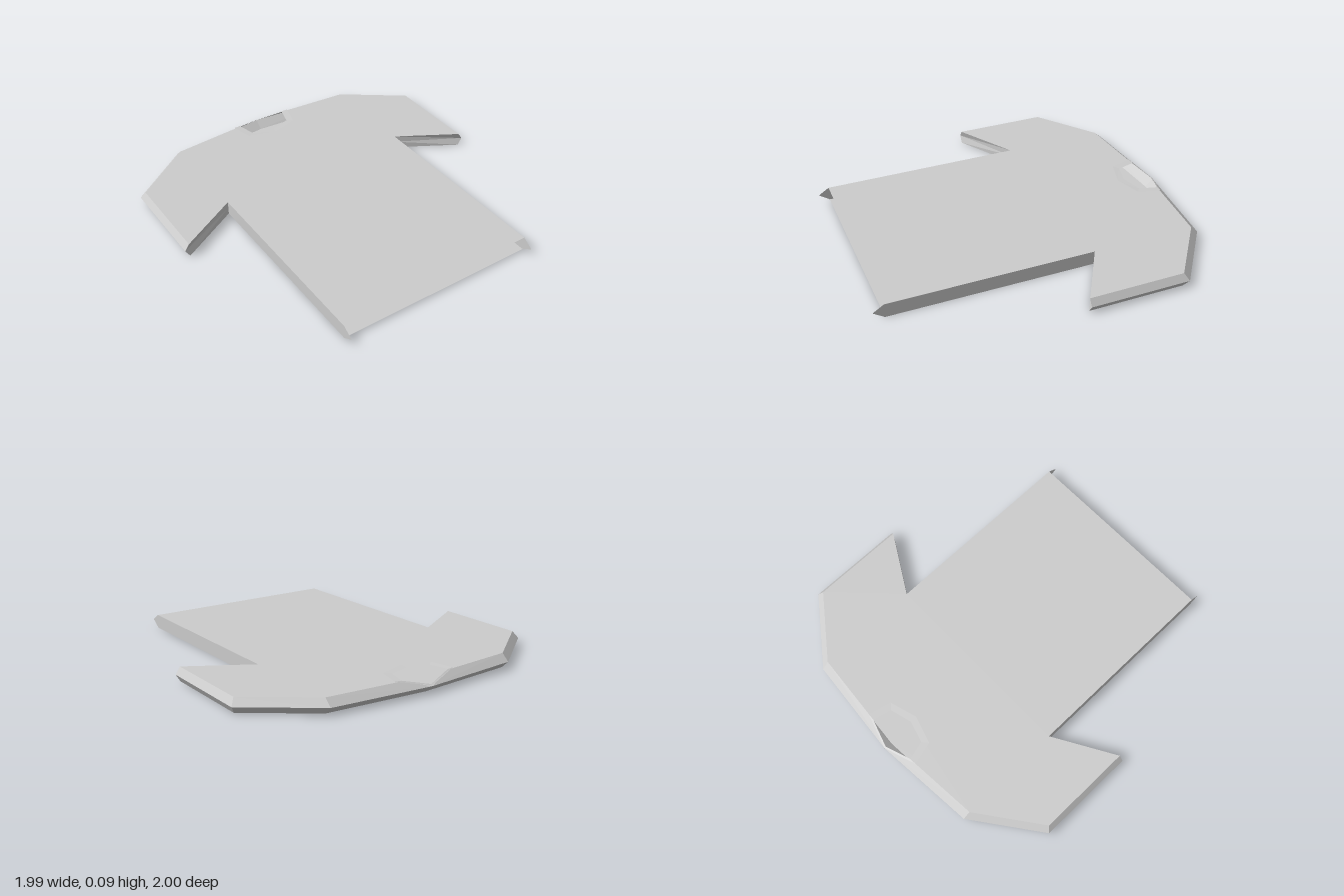
import * as THREE from 'three';

const TOP = 0.084, MID = 0.043;

// Half outlines (x, z) from hem to neck: flat panel edge and bulging side seam
const panelHalf = [[0.61, 0.933], [0.61, -0.28], [0.97, -0.07], [0.97, -0.635], [0.61, -0.902]];
const seamHalf = [[0.61, 0.997], [0.61, -0.28], [0.997, -0.07], [0.997, -0.66], [0.61, -0.947], [0, -1]];
const neckHalf = [[0.16, -0.939], [0.13, -0.828], [0, -0.792]];

const material = new THREE.MeshStandardMaterial({ color: 0xcccccc, flatShading: true, side: THREE.DoubleSide });

const lift = (points, y) => points.map(([x, z]) => [x, y, z]);
const mirrored = (half) => [...half, ...half.filter(([x]) => x > 0).reverse().map(([x, z]) => [-x, z])];

function addMesh(group, geometry, name) {
  const mesh = new THREE.Mesh(geometry, material);
  mesh.name = name;
  group.add(mesh);
}

// Flat horizontal panel facing up or down
function panel(half, y, up) {
  const shape = new THREE.Shape(mirrored(half).map(([x, z]) => new THREE.Vector2(x, up ? -z : z)));
  return new THREE.ShapeGeometry(shape).rotateX(up ? -Math.PI / 2 : Math.PI / 2).translate(0, y, 0);
}

// Strip of quads between two rows of points, for one side (+1 left, -1 right)
function strip(upper, lower, side) {
  const pos = [];
  const put = (...pts) => {
    if (side < 0) pts.reverse();
    pts.forEach(([x, y, z]) => pos.push(x * side, y, z));
  };
  for (let i = 0; i < upper.length - 1; i++) {
    put(upper[i], lower[i], lower[i + 1]);
    put(upper[i], lower[i + 1], upper[i + 1]);
  }
  const geometry = new THREE.BufferGeometry();
  geometry.setAttribute('position', new THREE.Float32BufferAttribute(pos, 3));
  geometry.computeVertexNormals();
  return geometry;
}

export function createModel() {
  const group = new THREE.Group();
  group.name = 'shirt';

  // Front cloth with the neck cut out, and plain back cloth
  addMesh(group, panel([...panelHalf, ...neckHalf], TOP, true), 'frontPanel');
  addMesh(group, panel([...panelHalf, [0, -0.95]], 0, false), 'backPanel');

  const seam = lift(seamHalf, MID);
  const upperEdge = lift([...panelHalf, neckHalf[0]], TOP);
  const lowerEdge = lift([...panelHalf, [0, -0.95]], 0);

  // Collar band: outer and inner rims, dipping to the seam at the nape
  const collarOuter = [[0, 0.047, -1], [0.2, 0.09, -0.937], [0.165, 0.09, -0.8], [0, 0.09, -0.75]];
  const collarInner = [[0, 0.052, -0.99], [0.16, 0.088, -0.939], [0.13, 0.088, -0.828], [0, 0.088, -0.792]];

  for (const [side, label] of [[1, 'left'], [-1, 'right']]) {
    // Side walls and closed cuffs; the hem stays open
    addMesh(group, strip(upperEdge, seam, side), label + 'UpperSide');
    addMesh(group, strip(seam, lowerEdge, side), label + 'LowerSide');
    addMesh(group, strip(collarInner, collarOuter, -side).scale(-1, 1, 1), label + 'Collar');
  }
  // Keep the collar faces pointing upwards
  group.children.filter((m) => m.name.endsWith('Collar')).forEach((m) => {
    const p = m.geometry.attributes.position;
    const [a, b, c] = [0, 1, 2].map((i) => new THREE.Vector3().fromBufferAttribute(p, i));
    if (b.sub(a).cross(c.sub(a)).y < 0) {
      m.geometry.setIndex(Array.from({ length: p.count }, (_, i) => i - (i % 3) + 2 - (i % 3)));
    }
    m.geometry.computeVertexNormals();
  });
  return group;
}
